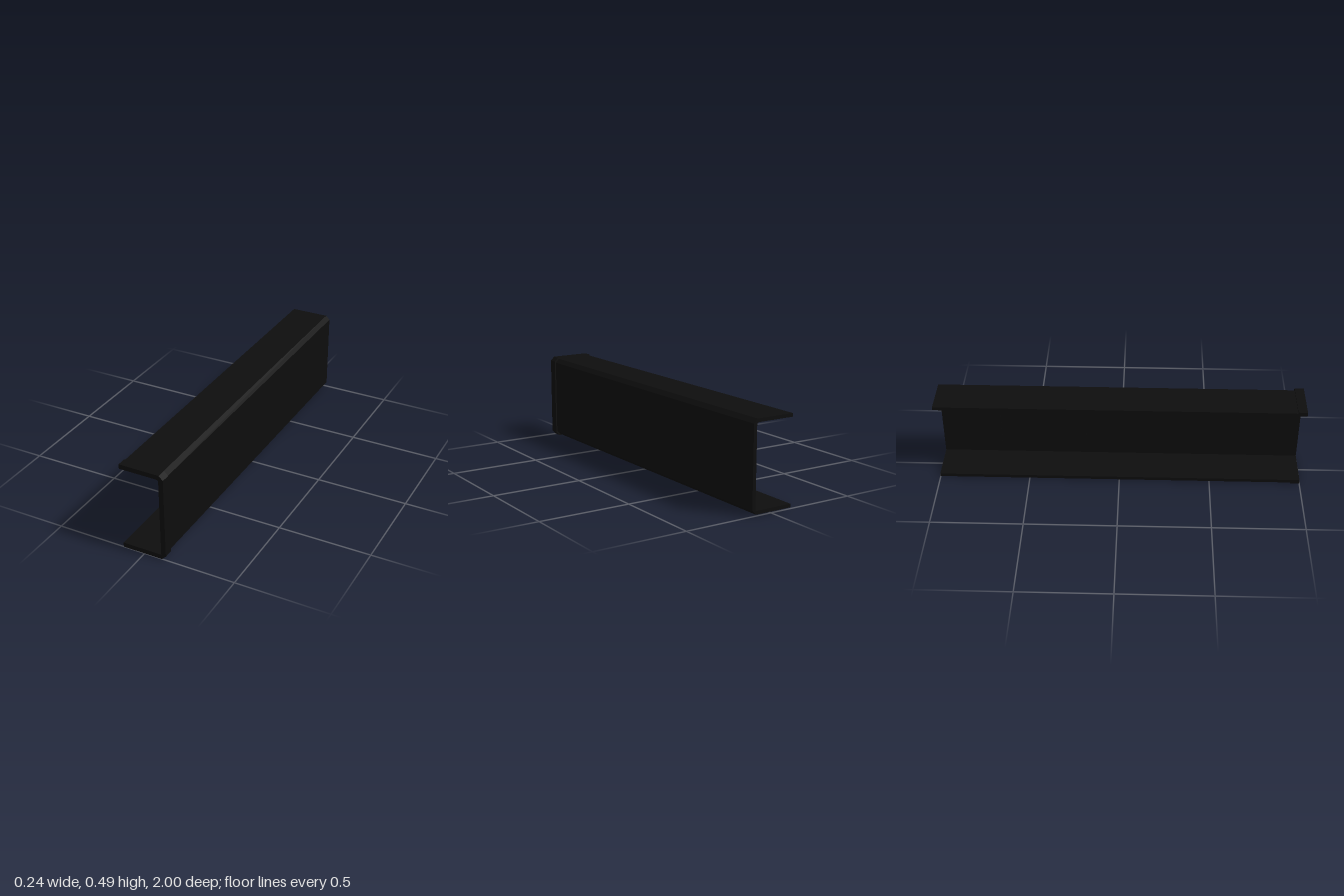
import * as THREE from 'three';

const black = new THREE.MeshStandardMaterial({ color: 0x0d0d0d });
black.name = 'blackSteel';

// C-shaped section, open toward -x; "inset" shrinks the outer faces only
function channelSection(inset) {
  const tip = -0.122, right = 0.122 - inset, bottom = inset, top = 0.488 - inset;
  const bevel = 0.022, inner = 0.096, floor = 0.025, ceiling = 0.463;
  const s = new THREE.Shape();
  s.moveTo(tip, bottom);
  s.lineTo(right - bevel, bottom);
  s.lineTo(right, bottom + bevel);
  s.lineTo(right, top - bevel);
  s.lineTo(right - bevel, top);
  s.lineTo(tip, top);
  s.lineTo(tip, ceiling);
  s.lineTo(inner - 0.012, ceiling);
  s.quadraticCurveTo(inner, ceiling, inner, ceiling - 0.012);
  s.lineTo(inner, floor);
  s.lineTo(tip, floor);
  s.closePath();
  return s;
}

function extrudedChannel(name, inset, z0, z1) {
  const geo = new THREE.ExtrudeGeometry(channelSection(inset), {
    depth: z1 - z0, bevelEnabled: false, curveSegments: 4,
  });
  geo.translate(0, 0, z0);
  const mesh = new THREE.Mesh(geo, black);
  mesh.name = name;
  return mesh;
}

export function createModel() {
  const group = new THREE.Group();
  group.name = 'channelBeam';

  // Long beam, with a slightly thicker collar at the front end
  group.add(extrudedChannel('beam', 0.007, -1, 0.95));
  group.add(extrudedChannel('frontCollar', 0, 0.95, 1));

  // Shallow raised strips on the inside of the web: [z, width]
  for (const [z, width] of [[-0.71, 0.08], [-0.24, 0.1], [0.24, 0.08], [0.74, 0.08]]) {
    const strip = new THREE.Mesh(new THREE.BoxGeometry(0.003, 0.3, width), black);
    strip.name = 'webStrip';
    strip.position.set(0.0955, 0.24, z);
    group.add(strip);
  }
  return group;
}
